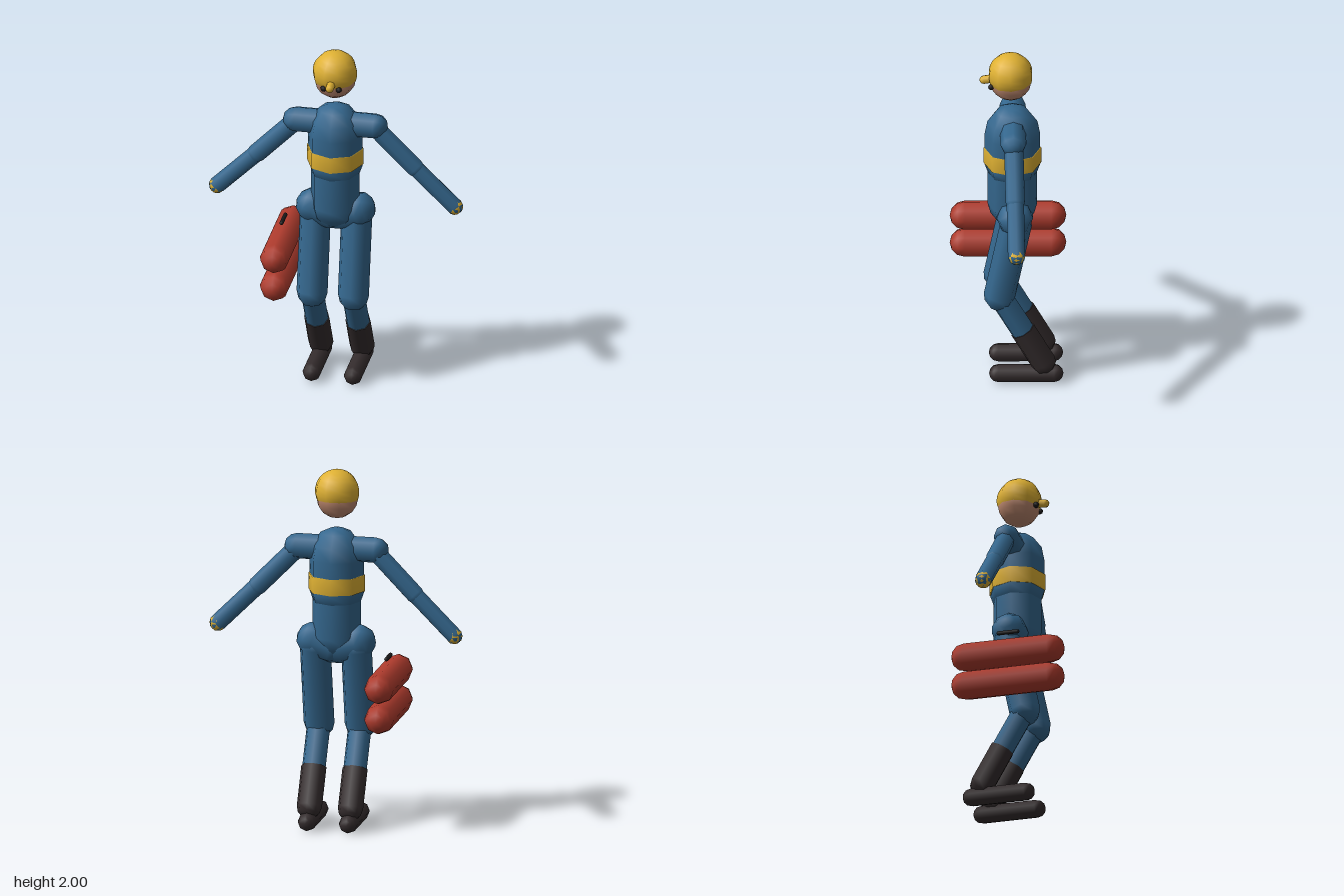
import * as THREE from 'three';

const mat = (name, color) => {
  const m = new THREE.MeshStandardMaterial({ color });
  m.name = name;
  return m;
};

export function createModel() {
  const root = new THREE.Group();
  root.name = 'figure';
  const blue = mat('suit blue', 0x35688f);
  const yellow = mat('yellow', 0xdfb133);
  const red = mat('tank red', 0xb03c2e);
  const dark = mat('boot dark', 0x352d2e);
  const black = mat('eye black', 0x1c1a1a);
  const skin = mat('skin', 0xc08a70);
  const UP = new THREE.Vector3(0, 1, 0);

  const add = (name, geometry, material, pos = [0, 0, 0], parent = root) => {
    const mesh = new THREE.Mesh(geometry, material);
    mesh.name = name;
    mesh.position.set(...pos);
    parent.add(mesh);
    return mesh;
  };

  // Eight-sided rounded limb between two joint centres
  const limb = (name, a, b, r, material, parent = root) => {
    const p = new THREE.Vector3(...a), q = new THREE.Vector3(...b);
    const d = q.clone().sub(p);
    const mesh = add(name, new THREE.CapsuleGeometry(r, d.length(), 3, 8), material,
      p.clone().add(q).multiplyScalar(0.5).toArray(), parent);
    mesh.quaternion.setFromUnitVectors(UP, d.normalize());
    return mesh;
  };

  const lathe = (name, profile, material) => add(name,
    new THREE.LatheGeometry(profile.map(([r, y]) => new THREE.Vector2(r, y)), 8),
    material, [0, 0, -0.022]);

  // Torso
  lathe('chest', [[0, 1.2], [0.08, 1.215], [0.132, 1.25], [0.153, 1.31], [0.153, 1.5],
    [0.138, 1.58], [0.09, 1.645], [0.04, 1.668], [0, 1.67]], blue);
  lathe('waist', [[0, 0.93], [0.07, 0.95], [0.12, 1.0], [0.136, 1.06], [0.136, 1.3]], blue);
  lathe('chestBand', [[0.15, 1.32], [0.159, 1.32], [0.159, 1.412], [0.15, 1.412]], yellow);

  // Head with cap, front knob and eyes
  add('head', new THREE.SphereGeometry(0.118, 10, 8), skin, [0, 1.845, -0.012]);
  const cap = add('cap', new THREE.SphereGeometry(0.125, 10, 8, 0, Math.PI * 2, 0, 1.93),
    yellow, [0, 1.875, -0.012]);
  cap.rotation.x = 0.06;
  limb('capKnob', [0, 1.85, 0.09], [0, 1.843, 0.135], 0.024, yellow);
  for (const s of [-1, 1]) {
    add('eye', new THREE.SphereGeometry(0.017, 8, 6), black, [s * 0.043, 1.82, 0.095]);
  }

  // Arms and legs, mirrored
  for (const s of [-1, 1]) {
    const side = s > 0 ? 'left' : 'right';
    const arm = new THREE.Group();
    arm.name = side + 'Arm';
    const leg = new THREE.Group();
    leg.name = side + 'Leg';
    root.add(arm, leg);

    limb('shoulder', [s * 0.06, 1.558, -0.025], [s * 0.222, 1.558, -0.025], 0.072, blue, arm);
    limb('upperArm', [s * 0.225, 1.545, -0.028], [s * 0.445, 1.32, -0.034], 0.053, blue, arm);
    limb('forearm', [s * 0.43, 1.335, -0.034], [s * 0.665, 1.102, -0.04], 0.048, blue, arm);
    add('hand', new THREE.SphereGeometry(0.0475, 8, 6), yellow, [s * 0.666, 1.101, -0.04], arm);

    const x = s * 0.116;
    limb('hip', [s * 0.02, 1.005, -0.035], [s * 0.123, 1.035, -0.035], 0.1, blue, leg);
    limb('thigh', [x, 1.0, -0.043], [x, 0.545, 0.05], 0.087, blue, leg);
    limb('shin', [x, 0.54, 0.046], [x, 0.26, -0.113], 0.066, blue, leg);

    // Boot: open-topped shaft with rounded ankle and a long foot
    const top = new THREE.Vector3(x, 0.325, -0.078), ankle = new THREE.Vector3(x, 0.125, -0.19);
    const axis = top.clone().sub(ankle);
    const shaft = add('bootShaft', new THREE.CylinderGeometry(0.071, 0.071, axis.length(), 8),
      dark, top.clone().add(ankle).multiplyScalar(0.5).toArray(), leg);
    shaft.quaternion.setFromUnitVectors(UP, axis.normalize());
    const ball = add('bootAnkle', new THREE.SphereGeometry(0.071, 8, 6), dark, ankle.toArray(), leg);
    ball.quaternion.copy(shaft.quaternion);
    limb('foot', [x, 0.052, -0.25], [x, 0.052, 0.055], 0.052, dark, leg);
  }

  // Pair of tanks with a small handle, beside the right leg
  for (const y of [0.823, 0.652]) {
    limb('tank', [-0.287, y, -0.238], [-0.287, y, 0.238], 0.083, red);
  }
  limb('tankHandle', [-0.287, 0.948, -0.053], [-0.287, 0.948, 0.053], 0.012, black);

  return root;
}
